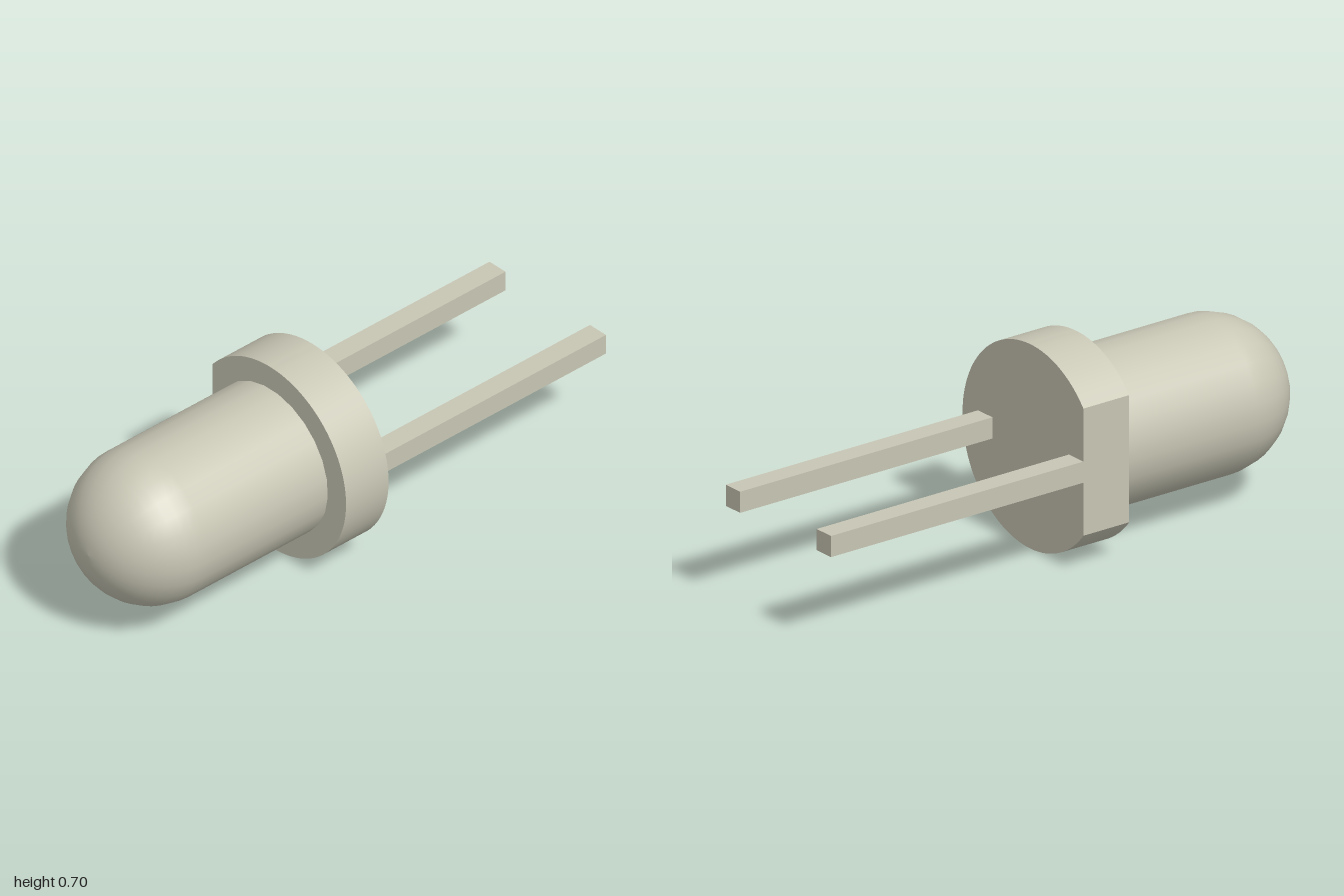
import * as THREE from 'three';
import { toCreasedNormals } from 'three/addons/utils/BufferGeometryUtils.js';

const AXIS_X = -0.038, AXIS_Y = 0.353;
const FLANGE_BACK = 0.02, FLANGE_FRONT = 0.205;

export function createModel() {
  const group = new THREE.Group();
  const material = new THREE.MeshStandardMaterial({ color: 0xc8c6b4 });
  material.name = 'warm grey';

  const add = (name, geometry, x, y, z) => {
    const mesh = new THREE.Mesh(geometry, material);
    mesh.name = name;
    mesh.position.set(x, y, z);
    group.add(mesh);
  };

  // Lens: straight barrel ending in a hemispherical dome, turned to face +z
  const radius = 0.267, domeStart = 1 - radius;
  const profile = [new THREE.Vector2(radius, FLANGE_FRONT - 0.01)];
  const steps = 12;
  for (let i = 0; i <= steps; i++) {
    const a = (i / steps) * Math.PI / 2;
    profile.push(new THREE.Vector2(i === steps ? 0 : radius * Math.cos(a), domeStart + radius * Math.sin(a)));
  }
  const lens = new THREE.LatheGeometry(profile, 25);
  lens.rotateX(Math.PI / 2);
  add('lens', lens, AXIS_X, AXIS_Y, 0);

  // Flange: disc with one flat side on -x
  const flangeRadius = 0.3525, flat = 0.276;
  const half = Math.PI - Math.acos(flat / flangeRadius);
  const outline = new THREE.Shape();
  outline.absarc(0, 0, flangeRadius, -half, half, false);
  const flange = new THREE.ExtrudeGeometry(outline, {
    depth: FLANGE_FRONT - FLANGE_BACK, bevelEnabled: false, curveSegments: 48,
  });
  add('flange', toCreasedNormals(flange, 0.5), AXIS_X, AXIS_Y, FLANGE_BACK);

  // Two square leads running backwards
  const leadLength = FLANGE_BACK + 1;
  const lead = new THREE.BoxGeometry(0.075, 0.073, leadLength);
  for (const [name, x] of [['rightLead', -0.276], ['leftLead', 0.196]]) {
    add(name, lead, x, AXIS_Y, -1 + leadLength / 2);
  }

  return group;
}
